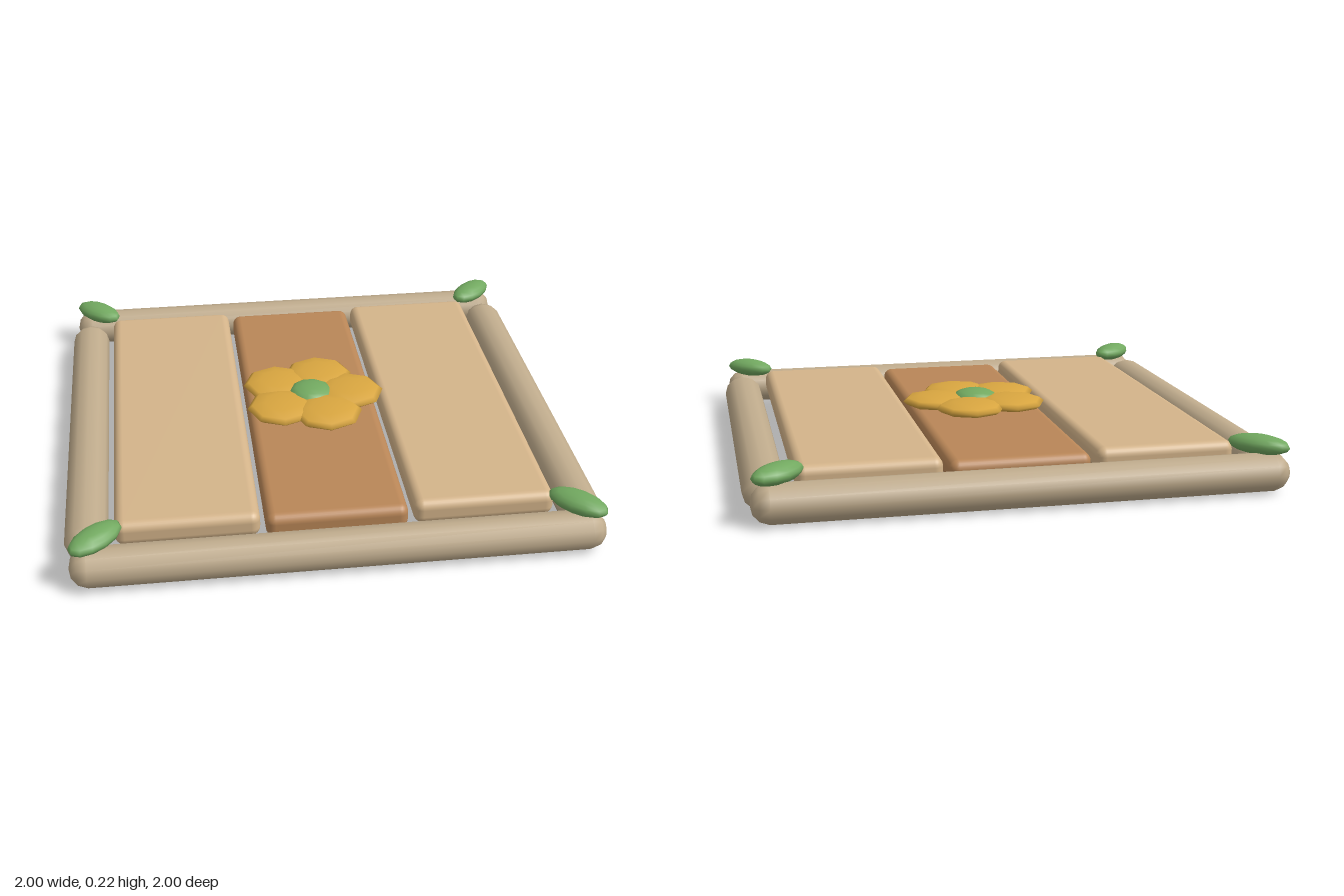
import * as THREE from 'three';
import { RoundedBoxGeometry } from 'three/addons/geometries/RoundedBoxGeometry.js';

const mat = (name, color) => {
  const m = new THREE.MeshStandardMaterial({ color });
  m.name = name;
  return m;
};

export function createModel() {
  const railWood = mat('railWood', 0xbfab8c);
  const paleWood = mat('paleWood', 0xd4b48a);
  const brownWood = mat('brownWood', 0xb98657);
  const petalGold = mat('petalGold', 0xd9a640);
  const leafGreen = mat('leafGreen', 0x72a960);

  const model = new THREE.Group();
  model.name = 'floweredPanel';
  const add = (name, geometry, material, x, y, z) => {
    const mesh = new THREE.Mesh(geometry, material);
    mesh.name = name;
    mesh.position.set(x, y, z);
    model.add(mesh);
    return mesh;
  };

  // Round-ended log lying along x, slightly flattened in y
  const railGeometry = (half) => {
    const r = 0.08;
    const profile = [
      [0, -half], [0.04, -half + 0.008], [0.067, -half + 0.03], [r, -half + 0.065],
      [r, half - 0.065], [0.067, half - 0.03], [0.04, half - 0.008], [0, half],
    ].map(([x, y]) => new THREE.Vector2(x, y));
    return new THREE.LatheGeometry(profile, 12).rotateZ(Math.PI / 2).scale(1, 0.0725 / r, 1);
  };
  const longRail = railGeometry(0.98);
  const sideRail = railGeometry(0.84).rotateY(Math.PI / 2);
  add('frontRail', longRail, railWood, 0, 0.0725, 0.92);
  add('backRail', longRail, railWood, 0, 0.0725, -0.92);
  add('leftRail', sideRail, railWood, 0.92, 0.0725, 0);
  add('rightRail', sideRail, railWood, -0.92, 0.0725, 0);

  // Three planks, the middle one set lower
  const plank = new RoundedBoxGeometry(0.53, 0.1, 1.63, 3, 0.035);
  add('leftPlank', plank, paleWood, 0.55, 0.115, 0);
  add('middlePlank', plank, brownWood, 0, 0.1, 0);
  add('rightPlank', plank, paleWood, -0.55, 0.115, 0);

  // Flower: five flattened petals around a button
  const petal = new THREE.SphereGeometry(0.142, 8, 6).scale(1, 0.21, 1);
  for (let i = 0; i < 5; i++) {
    const a = (i / 5) * Math.PI * 2;
    add('petal', petal, petalGold, 0.16 * Math.cos(a), 0.181, 0.16 * Math.sin(a));
  }
  add('flowerCentre', new THREE.SphereGeometry(0.09, 10, 8).scale(1, 0.4, 1), leafGreen, 0, 0.188, 0);

  // Leaves pointing out along the diagonals at the corners
  const leaf = new THREE.SphereGeometry(1, 12, 8).scale(0.12, 0.037, 0.06);
  for (const sx of [-1, 1]) {
    for (const sz of [-1, 1]) {
      add('cornerLeaf', leaf, leafGreen, 0.88 * sx, 0.168, 0.88 * sz).rotation.y = -sx * sz * Math.PI / 4;
    }
  }
  return model;
}
